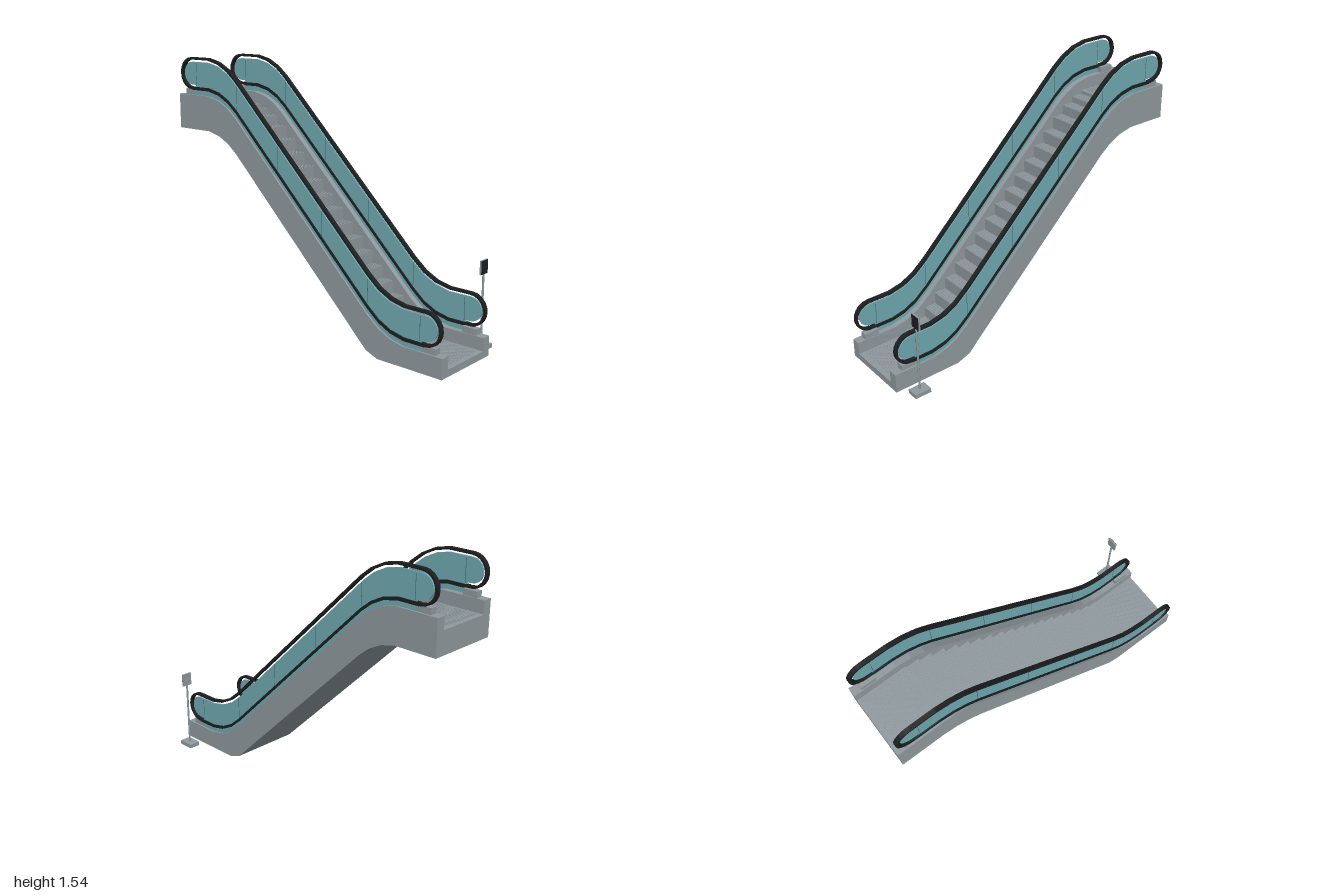
import * as THREE from 'three';
import { mergeGeometries } from 'three/addons/utils/BufferGeometryUtils.js';

const flat = (name, color, extra = {}) => Object.assign(new THREE.MeshStandardMaterial({ color, ...extra }), { name });
const metal = flat('brushed grey metal', 0x8f999e);
const rubber = flat('black rubber', 0x1d1e1f);
const glass = flat('teal glass', 0x6fa8b0);
const seamMat = flat('dark glass seam', 0x456a70);

const CX = -0.06;      // centre of the escalator across x
const RAIL_X = 0.204;  // handrail distance from that centre
const STEP_W = 0.33;

// Handrail centre line as (z, y); every other long part follows it at a fixed drop
const PATH = [[1, 0.335], [0.75, 0.335], [0.66, 0.355], [0.58, 0.395], [0.5, 0.46],
  [-0.5, 1.42], [-0.57, 1.475], [-0.65, 1.515], [-0.74, 1.535], [-1, 1.535]];

function heightAt(z) {
  for (let i = 1; i < PATH.length; i++) {
    const [z0, y0] = PATH[i - 1], [z1, y1] = PATH[i];
    if (z >= z1) return y0 + (y1 - y0) * (z0 - z) / (z0 - z1);
  }
  return PATH[PATH.length - 1][1];
}

// Path points between +end and -end, dropped by d and never below floor
function line(end, d, floor = 0) {
  const zs = [end, 0.75, 0.66, 0.58, 0.5, -0.5, -0.57, -0.65, -0.74, -end];
  return zs.map(z => new THREE.Vector2(z, Math.max(floor, heightAt(z) - d)));
}
const band = (end, top, bottom, floor = 0) =>
  new THREE.Shape([...line(end, top, floor), ...line(end, bottom).reverse()]);

// Side profile (z, y) given thickness across x, centred on x = 0
function sideExtrude(shape, width) {
  const g = new THREE.ExtrudeGeometry(shape, { depth: width, bevelEnabled: false });
  return g.translate(0, 0, -width / 2).rotateY(-Math.PI / 2);
}

// Closed handrail loop with half-round ends
function handrailLoop() {
  const R = 0.09, end = 0.89, pts = line(end, 0);
  const arc = (z, y, dir) => {
    for (let i = 1; i < 10; i++) {
      const a = Math.PI / 2 - Math.PI * i / 10;
      pts.push(new THREE.Vector2(z + dir * R * Math.cos(a), y + R * Math.sin(a)));
    }
  };
  arc(-end, 1.535 - R, -1);
  pts.push(...line(end, 2 * R).reverse());
  const n = pts.length;
  arc(end, 0.335 - R, 1);
  return [...pts.slice(0, n), ...pts.slice(n).reverse()];
}

// Mitred offset of a counter-clockwise loop; positive t grows it
function offset(loop, t) {
  const n = loop.length;
  return loop.map((p, i) => {
    const a = p.clone().sub(loop[(i + n - 1) % n]).normalize();
    const b = loop[(i + 1) % n].clone().sub(p).normalize();
    const na = new THREE.Vector2(a.y, -a.x), nb = new THREE.Vector2(b.y, -b.x);
    const m = na.clone().add(nb).normalize();
    return p.clone().addScaledVector(m, t / Math.max(0.5, m.dot(na)));
  });
}

export function createModel() {
  const model = new THREE.Group();
  model.name = 'escalator';
  const add = (name, geo, mat, x = 0, y = 0, z = 0, parent = model) => {
    const m = new THREE.Mesh(geo, mat);
    m.name = name;
    m.position.set(x, y, z);
    parent.add(m);
    return m;
  };
  const box = (name, w, h, d, mat, x, y, z, parent) =>
    add(name, new THREE.BoxGeometry(w, h, d), mat, x, y, z, parent);

  // Truss under the steps
  add('truss', sideExtrude(band(1, 0.36, 0.43, 0.012), STEP_W), metal, CX);

  // Side walls and balustrades
  const loop = handrailLoop();
  const rail = new THREE.Shape(offset(loop, 0.007));
  rail.holes.push(new THREE.Path(offset(loop, -0.007)));
  const wallGeo = sideExtrude(band(1, 0.22, 0.43), 0.055);
  const railGeo = sideExtrude(rail, 0.025);
  const glassGeo = sideExtrude(new THREE.Shape(offset(loop, -0.021)), 0.01);
  const glassBaseGeo = sideExtrude(band(0.86, 0.15, 0.222), 0.0096);
  const returnGeo = sideExtrude(band(0.88, 0.171, 0.19), 0.024);
  for (const side of [-1, 1]) {
    const half = new THREE.Group();
    half.name = side > 0 ? 'leftBalustrade' : 'rightBalustrade';
    model.add(half);
    const x = CX + side * RAIL_X;
    add('sideWall', wallGeo, metal, CX + side * 0.1925, 0, 0, half);
    add('handrail', railGeo, rubber, x, 0, 0, half);
    add('handrailReturn', returnGeo, rubber, x, 0, 0, half);
    add('glassPanel', glassGeo, glass, x, 0, 0, half);
    add('glassBase', glassBaseGeo, glass, x, 0, 0, half);
    for (const z of [0.85, 0.5, 0.17, -0.17, -0.5, -0.85])
      box('glassSeam', 0.0115, 0.135, 0.003, seamMat, x, heightAt(z) - 0.097, z, half);
    for (const z of [0.905, -0.905])
      box('handrailInlet', 0.04, 0.036, 0.09, metal, CX + side * 0.189, heightAt(z) - 0.203, z, half);
  }

  // Landing plates with rows of small studs
  const studs = [];
  for (let i = 0; i < 28; i++) for (let j = 0; j < 20; j++)
    studs.push(new THREE.BoxGeometry(0.005, 0.002, 0.006)
      .translate((i - 13.5) * 0.011, 0, (j - 9.5) * 0.013));
  const studGeo = mergeGeometries(studs);
  for (const [name, s, bottom, top] of [['lowerLanding', 1, 0, 0.04], ['upperLanding', -1, 1.105, 1.24]]) {
    box(name, STEP_W, top - bottom, 0.308, metal, CX, (top + bottom) / 2, s * 0.846);
    add(name + 'Studs', studGeo, metal, CX, top + 0.001, s * 0.84);
  }

  // Steps, each with a ribbed tread
  const pitch = 0.077, count = 18;
  const ribs = [];
  for (let i = 0; i < 24; i++)
    ribs.push(new THREE.BoxGeometry(0.006, 0.003, pitch - 0.004).translate((i - 11.5) * 0.0135, 0, 0));
  const ribGeo = mergeGeometries(ribs);
  for (let i = 0; i < count; i++) {
    const z = (count - 1) / 2 * pitch - i * pitch;
    const y = heightAt(z) - 0.298;
    const h = Math.min(0.09, y - 0.004);
    box('step', STEP_W, h, pitch, metal, CX, y - h / 2, z);
    add('stepRibs', ribGeo, metal, CX, y + 0.0012, z);
  }

  // Free-standing sign post
  const sign = new THREE.Group();
  sign.name = 'signPost';
  sign.position.set(0.24, 0, 0.9);
  model.add(sign);
  box('signBase', 0.07, 0.025, 0.1, metal, 0, 0.0125, 0, sign);
  add('signPole', new THREE.CylinderGeometry(0.006, 0.006, 0.41, 12), metal, 0, 0.225, 0, sign);
  box('signPanel', 0.064, 0.08, 0.01, metal, 0, 0.463, 0, sign);
  box('signFace', 0.062, 0.078, 0.002, rubber, 0, 0.463, 0.006, sign);

  return model;
}
